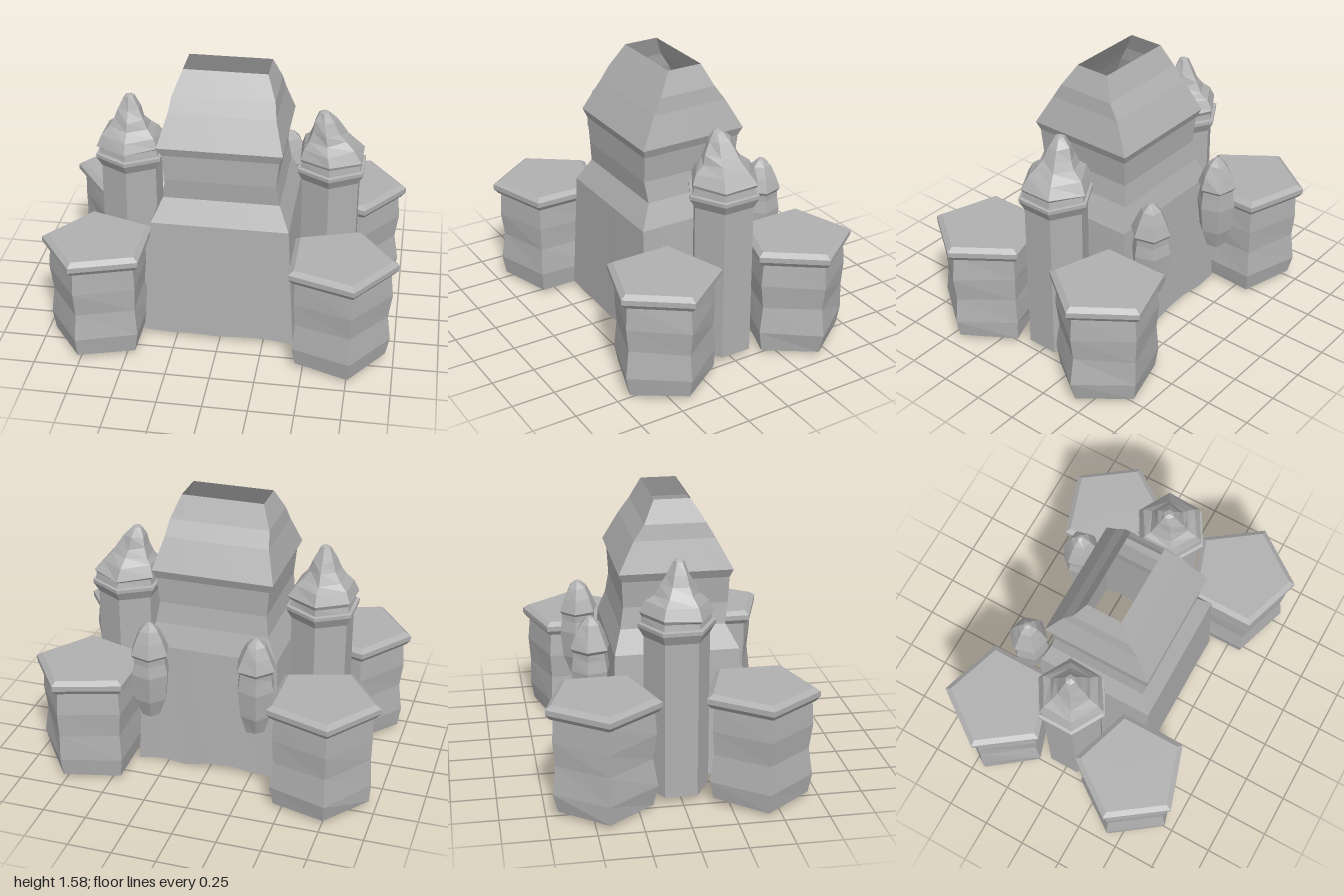
import * as THREE from 'three';

const stone = new THREE.MeshStandardMaterial({ color: 0xb0b0b0, side: THREE.DoubleSide, flatShading: true });
stone.name = 'grey stone';

// Small seeded random, -1..1
let seed = 7;
const rnd = () => {
  seed = (seed * 16807) % 2147483647;
  return (seed / 2147483647) * 2 - 1;
};

// Faceted skin between closed rings of points, listed from bottom to top
function loft(name, rings) {
  const pos = [];
  const n = rings[0].length;
  for (let i = 0; i < rings.length - 1; i++) {
    for (let j = 0; j < n; j++) {
      const k = (j + 1) % n;
      const a = rings[i][j], b = rings[i + 1][j], c = rings[i + 1][k], d = rings[i][k];
      pos.push(...a, ...b, ...c, ...a, ...c, ...d);
    }
  }
  const geo = new THREE.BufferGeometry();
  geo.setAttribute('position', new THREE.Float32BufferAttribute(pos, 3));
  geo.computeVertexNormals();
  const mesh = new THREE.Mesh(geo, stone);
  mesh.name = name;
  return mesh;
}

// Regular polygon ring; rough moves the corners a little
function polygon(sides, y, r, start, rough = 0, dx = 0, dz = 0) {
  return Array.from({ length: sides }, (_, j) => {
    const a = start + (j / sides) * Math.PI * 2;
    const q = r + rnd() * rough;
    return [dx + Math.cos(a) * q, y + rnd() * rough, dz + Math.sin(a) * q];
  });
}

// Rectangle ring with each side divided, running from +x towards +z
function rectangle(y, x0, x1, z0, z1, rough = 0) {
  const corners = [[x1, z0], [x1, z1], [x0, z1], [x0, z0]];
  const pts = [];
  const div = 6;
  corners.forEach(([ax, az], s) => {
    const [bx, bz] = corners[(s + 1) % 4];
    for (let i = 0; i < div; i++) {
      const t = i / div;
      pts.push([ax + (bx - ax) * t, y + rnd() * rough, az + (bz - az) * t]);
    }
  });
  return pts;
}

// Open keep with a flared roof and a ragged foot
function keep() {
  return loft('keep', [
    rectangle(0.025, -0.435, 0.425, -0.35, 0.39, 0.024),
    rectangle(0.75, -0.385, 0.385, -0.32, 0.375),
    rectangle(0.88, -0.325, 0.325, -0.28, 0.305),
    rectangle(1.0, -0.31, 0.305, -0.262, 0.32),
    rectangle(1.15, -0.325, 0.32, -0.27, 0.325),
    rectangle(1.2, -0.35, 0.34, -0.29, 0.342),
    rectangle(1.37, -0.3, 0.292, -0.2, 0.25),
    rectangle(1.455, -0.285, 0.28, -0.14, 0.2),
    rectangle(1.58, -0.235, 0.23, -0.08, 0.122),
  ]);
}

// Five-sided corner tower: wavy hollow body and a bevelled lid
function cornerTower(name, side, z) {
  const g = new THREE.Group();
  g.name = name;
  const start = side > 0 ? 0 : Math.PI;
  const body = [
    [0.03, 0.275, 0.01], [0.14, 0.297, 0.006], [0.3, 0.28, 0.008],
    [0.44, 0.292, 0.008], [0.58, 0.283, 0],
  ].map(([y, r, rough]) => polygon(5, y, r, start, rough));
  const lid = [[0.577, 0.28], [0.577, 0.3], [0.605, 0.325], [0.635, 0.325], [0.657, 0.29], [0.657, 0]]
    .map(([y, r]) => polygon(5, y, r, start));
  g.add(loft('towerBody', body), loft('towerLid', lid));
  g.position.set(0.675 * side, 0, z);
  return g;
}

// Six-sided side turret; lean pushes the roof tip sideways
function sideTurret(name, x, tip, lean) {
  const g = new THREE.Group();
  g.name = name;
  const start = Math.PI / 6;
  const shaft = [[0.04, 0.18], [0.93, 0.18], [0.985, 0.212], [1.005, 0.212], [1.01, 0.19]]
    .map(([y, r]) => polygon(6, y, r, start));
  const roof = [
    [1.0, 0.195, 0.004], [1.045, 0.185, 0.006], [1.06, 0.2, 0.008], [1.12, 0.17, 0.01],
    [1.16, 0.12, 0.01], [1.21, 0.09, 0.01], [1.27, 0.066, 0.008], [tip - 0.015, 0.028, 0.004], [tip, 0, 0],
  ].map(([y, r, rough]) => {
    const t = Math.max(0, (y - 1.06) / (tip - 1.06));
    return polygon(6, y, r, start, rough, lean * t, 0.01 * t);
  });
  g.add(loft('turretShaft', shaft), loft('turretRoof', roof));
  g.position.set(x, 0, -0.01);
  return g;
}

// Small hanging turret on the rear wall, pointed at both ends
function rearTurret(name, x) {
  const rings = [
    [0.37, 0, 0], [0.39, 0.055, 0.004], [0.5, 0.095, 0.003], [0.66, 0.113, 0.003], [0.73, 0.1, 0.003],
    [0.765, 0.1, 0.002], [0.785, 0.115, 0.004], [0.86, 0.088, 0.004], [0.92, 0.055, 0.003],
    [0.955, 0.022, 0.002], [0.965, 0, 0],
  ].map(([y, r, rough]) => polygon(6, y, r, 0.25, rough));
  const mesh = loft(name, rings);
  mesh.position.set(x, 0, -0.445);
  return mesh;
}

export function createModel() {
  seed = 7;
  const model = new THREE.Group();
  model.name = 'castle';
  model.add(keep());
  for (const side of [1, -1]) {
    const word = side > 0 ? 'left' : 'right';
    model.add(cornerTower(word + 'FrontTower', side, 0.425));
    model.add(cornerTower(word + 'BackTower', side, -0.43));
    model.add(rearTurret(word + 'RearTurret', 0.305 * side));
  }
  model.add(sideTurret('leftSideTurret', 0.58, 1.33, -0.055));
  model.add(sideTurret('rightSideTurret', -0.565, 1.355, 0));
  return model;
}
